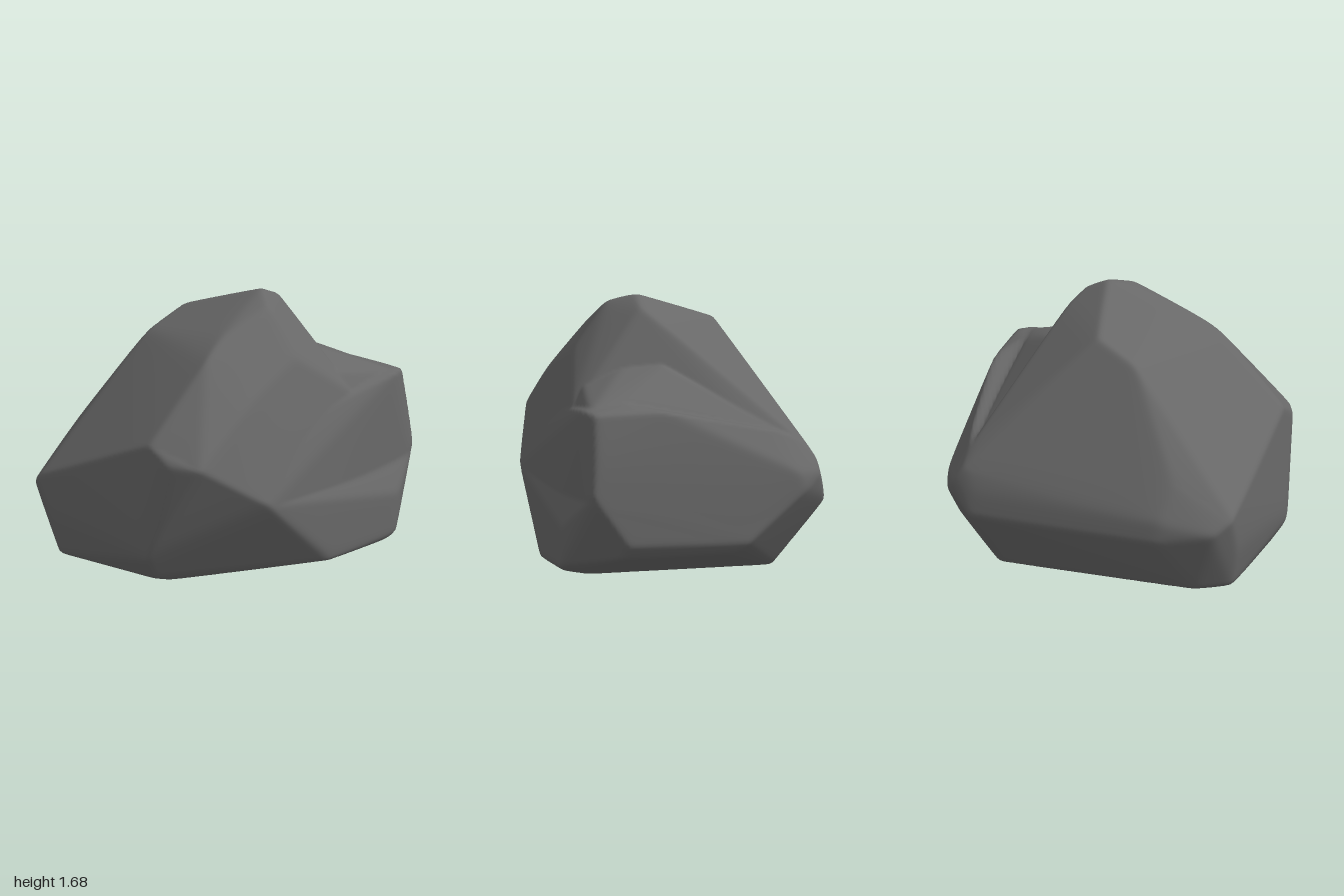
import * as THREE from 'three';
import { mergeVertices } from 'three/addons/utils/BufferGeometryUtils.js';
import { ConvexGeometry } from 'three/addons/geometries/ConvexGeometry.js';

const CENTRE = new THREE.Vector3(0, 0.5, 0);
const SHARPNESS = 150; // higher gives tighter rounding of the edges

// Corners shared by every lobe: underside, right flank and back
const core = [
  [0.63, 0, 0.7], [0.65, 0, -0.52], [-0.75, 0, -0.5], [-0.75, 0, 0.25], [0.1, 0.03, 0.83],
  [-0.89, 0.04, 0.22], [-1, 0.2, 0.25], [-1.01, 0.27, 0.2], [-0.94, 0.3, -0.6],
  [-0.98, 0.95, 0.25], [-0.99, 0.85, 0.4], [-0.9, 0.84, 0.6], [-0.45, 0.53, 0.79],
  [-0.48, 0.4, -0.885], [-0.5, 0.52, -0.87], [-0.85, 0.45, -0.79], [-0.94, 0.53, -0.69],
  [-0.55, 0.77, -0.72], [-0.74, 0.72, -0.62],
  [-0.69, 0.04, -0.69], [-0.89, 0.04, -0.55],
  [0.76, 0.42, -0.84], [0.75, 0.56, -0.82], [0.88, 0.62, -0.77], [0.8, 0.71, -0.765],
  [0.96, 0.52, -0.65], [0.8, 0.82, -0.65], [1, 0.2, -0.26], [0.95, 0.14, -0.15],
];

// Main summit with its steep front and sloping back
const summit = [
  [0.17, 1.69, 0.21], [0.05, 1.63, 0.38], [0.32, 1.62, 0.23], [0.4, 1.54, 0.14],
  [-0.34, 1.5, 0.3], [-0.5, 1.41, 0.33], [0.07, 1.5, -0.32], [-0.2, 1.38, -0.4],
  [0.05, 1.33, 0.6], [-0.42, 1.15, 0.61], [0.46, 1.27, 0.4], [0.49, 0.99, 0.75], [0.51, 1.27, -0.05],
  [0.72, 0.9, -0.53], [0.5, 0.6, 0.78],
];

// Ramp joining the summit to the shoulder
const ramp = [
  [0.53, 1.28, 0.15], [0.46, 1.27, 0.4], [0.8, 1.11, 0.48], [0.86, 1.07, 0.74], [0.49, 0.99, 0.75],
  [0.2, 1.2, 0.6], [0.3, 1.35, 0.2], [0.8, 1, 0], [0.75, 0.9, -0.5],
];

// Lower shoulder on the left side, with a rim along its top
const shoulder = [
  [0.93, 1.065, 0.74], [0.935, 1.06, 0.25], [0.8, 1.11, 0.5], [0.8, 1.075, 0.78], [0.47, 0.98, 0.77],
  [0.99, 0.78, 0.72], [1.01, 0.55, 0.765], [0.94, 0.52, 0.795], [1.01, 0.22, 0.53], [0.95, 0.14, 0.55],
  [0.97, 0.63, -0.6], [0.83, 0.88, -0.52], [0.7, 0.2, 0.8],
];

// Bulging foot at the front
const foot = [
  [0.7, 0.32, 0.885], [0.69, 0.07, 0.885], [0.62, 0.03, 0.84], [0.1, 0.08, 0.84],
  [0.95, 0.52, 0.79], [1.01, 0.52, 0.745], [1, 0.22, 0.53], [0.95, 0.14, 0.55], [0.95, 0.7, 0.4],
];

// Face planes of a convex lobe, as normals divided by their distance from the centre
function lobePlanes(points) {
  const hull = new ConvexGeometry(points.map((p) => new THREE.Vector3(...p).sub(CENTRE)));
  const pos = hull.attributes.position;
  const planes = [];
  for (let i = 0; i < pos.count; i += 3) {
    const [a, b, c] = [0, 1, 2].map((k) => new THREE.Vector3().fromBufferAttribute(pos, i + k));
    const normal = b.clone().sub(a).cross(c.sub(a));
    if (normal.length() < 1e-6) continue;
    normal.normalize();
    const distance = normal.dot(a);
    if (distance < 1e-3) continue;
    normal.divideScalar(distance);
    if (!planes.some((p) => p.distanceTo(normal) < 0.01)) planes.push(normal);
  }
  return planes;
}

// Distance to a lobe's surface along a direction, with softly rounded edges
function lobeRadius(planes, dir) {
  let sum = 0;
  for (const plane of planes) sum += Math.max(0, plane.dot(dir)) ** SHARPNESS;
  return sum ** (-1 / SHARPNESS);
}

// A fine sphere pushed out to the furthest lobe in every direction
function rockGeometry() {
  const lobes = [summit, ramp, shoulder, foot].map((extra) => lobePlanes([...core, ...extra]));
  let geometry = new THREE.IcosahedronGeometry(1, 64);
  geometry.deleteAttribute('normal');
  geometry.deleteAttribute('uv');
  geometry = mergeVertices(geometry, 1e-5);

  const pos = geometry.attributes.position;
  const v = new THREE.Vector3();
  for (let i = 0; i < pos.count; i++) {
    v.fromBufferAttribute(pos, i).normalize();
    const radius = Math.max(...lobes.map((planes) => lobeRadius(planes, v)));
    v.multiplyScalar(radius).add(CENTRE);
    pos.setXYZ(i, v.x, v.y, v.z);
  }
  geometry.computeVertexNormals();
  return geometry;
}

export function createModel() {
  const stone = new THREE.MeshStandardMaterial({ color: 0x686868 });
  stone.name = 'darkGreyStone';

  const boulder = new THREE.Mesh(rockGeometry(), stone);
  boulder.name = 'boulder';

  const model = new THREE.Group();
  model.name = 'rock';
  model.add(boulder);
  return model;
}
